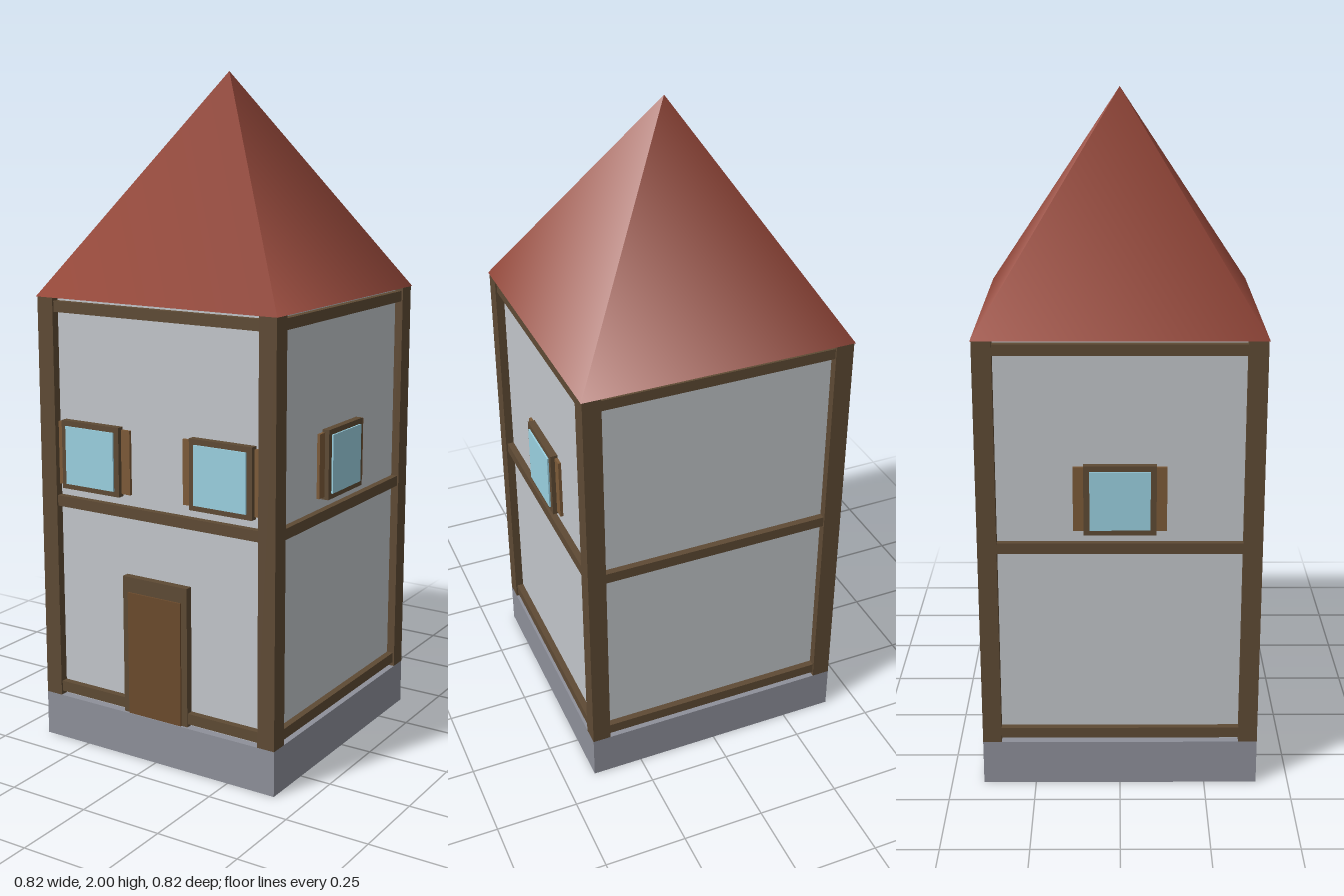
import * as THREE from 'three';

const material = (color) => new THREE.MeshStandardMaterial({ color });

export function createModel() {
  const tower = new THREE.Group();
  tower.name = 'timberFramedTower';

  const stone = material(0x8e909a);
  const plaster = material(0xc2c6ca);
  const timber = material(0x5e4a34);
  const doorWood = material(0x6b4a2c);
  const shutterWood = material(0x7c5a38);
  const glass = material(0x9ad0e0);
  const tiles = material(0x96483a);

  // Box given by its lower and upper limits on each axis
  const box = (parent, name, mat, [x0, x1], [y0, y1], [z0, z1]) => {
    const mesh = new THREE.Mesh(new THREE.BoxGeometry(x1 - x0, y1 - y0, z1 - z0), mat);
    mesh.position.set((x0 + x1) / 2, (y0 + y1) / 2, (z0 + z1) / 2);
    mesh.name = name;
    parent.add(mesh);
    return mesh;
  };

  // Plinth and plastered walls
  box(tower, 'plinth', stone, [-0.405, 0.405], [0, 0.135], [-0.405, 0.405]);
  box(tower, 'walls', plaster, [-0.38, 0.38], [0.135, 1.36], [-0.38, 0.38]);

  // Corner posts
  for (const sx of [-1, 1]) {
    for (const sz of [-1, 1]) {
      const post = box(tower, 'cornerPost', timber, [-0.0275, 0.0275], [0.135, 1.36], [-0.0275, 0.0275]);
      post.position.x = sx * 0.3775;
      post.position.z = sz * 0.3775;
    }
  }

  // One window, built facing +z
  const addWindow = (parent, x) => {
    const win = new THREE.Group();
    win.name = 'window';
    win.position.set(x, 0.895, 0);
    box(win, 'windowFrame', timber, [-0.103, 0.103], [-0.103, 0.103], [0.37, 0.402]);
    box(win, 'windowPane', glass, [-0.086, 0.086], [-0.087, 0.087], [0.39, 0.407]);
    for (const s of [-1, 1]) {
      const shutter = box(win, 'shutter', shutterWood, [-0.03, 0.03], [-0.095, 0.095], [0.37, 0.389]);
      shutter.position.x = s * 0.103;
    }
    parent.add(win);
  };

  // Four sides: three beams each, with windows on all but the back
  const sides = [
    ['frontSide', [-0.225, 0.225]],
    ['leftSide', [0]],
    ['backSide', []],
    ['rightSide', [0]],
  ];
  sides.forEach(([name, windows], i) => {
    const side = new THREE.Group();
    side.name = name;
    side.rotation.y = i * Math.PI / 2;
    for (const y of [0.163, 0.75, 1.332]) {
      box(side, 'beam', timber, [-0.36, 0.36], [y - 0.016, y + 0.016], [0.37, 0.4]);
    }
    for (const x of windows) addWindow(side, x);
    tower.add(side);
  });

  // Front door
  const door = new THREE.Group();
  door.name = 'door';
  box(door, 'doorFrame', timber, [-0.112, 0.112], [0.138, 0.558], [0.37, 0.403]);
  box(door, 'doorPanel', doorWood, [-0.092, 0.092], [0.138, 0.512], [0.39, 0.408]);
  tower.add(door);

  // Pyramid roof with softly shaded slopes
  const roof = new THREE.Mesh(new THREE.ConeGeometry(0.408 * Math.SQRT2, 0.642, 4), tiles);
  roof.name = 'roof';
  roof.rotation.y = Math.PI / 4;
  roof.position.y = 1.358 + 0.321;
  tower.add(roof);

  return tower;
}
